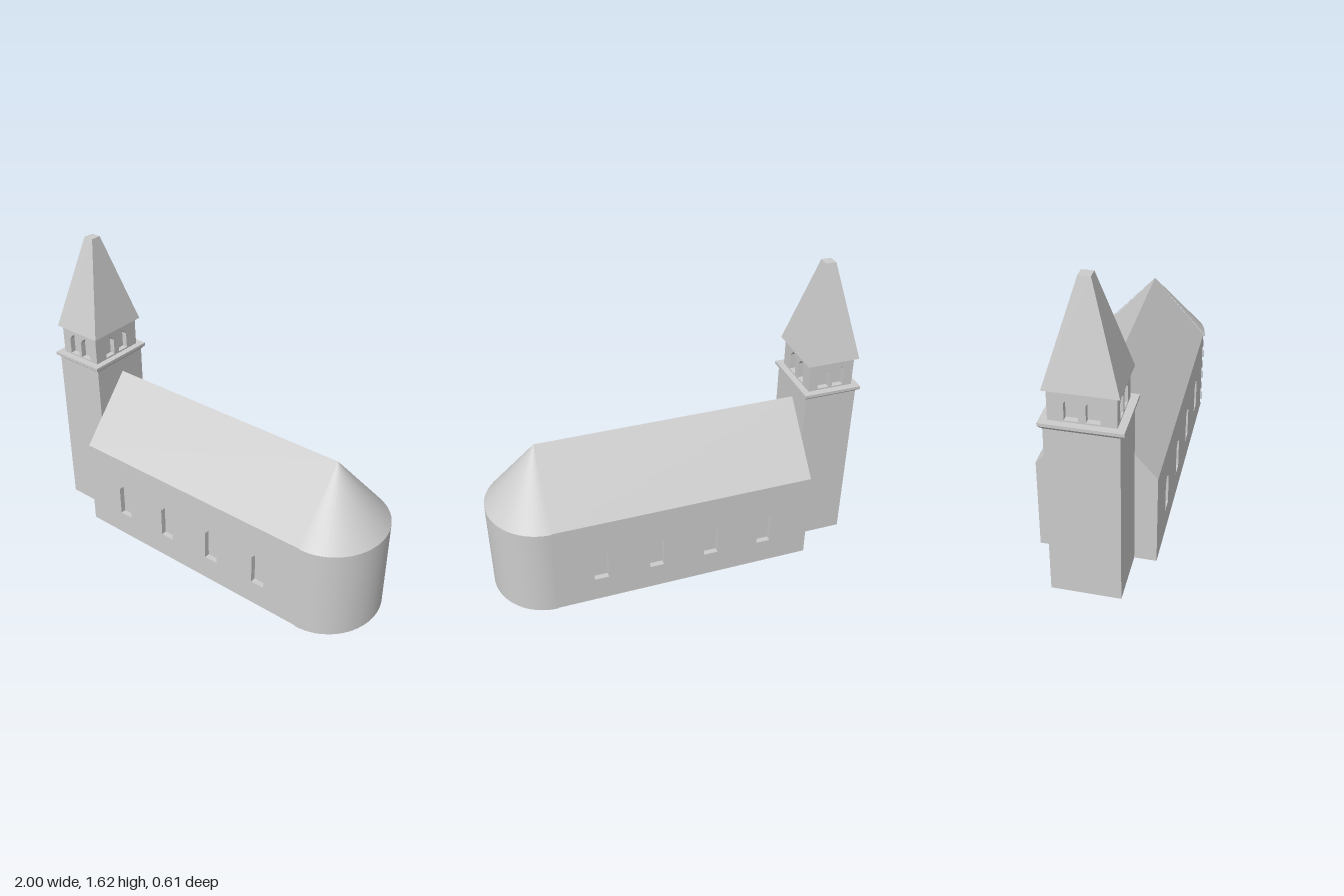
import * as THREE from 'three';

const stone = new THREE.MeshStandardMaterial({ color: 0xcccccc });
stone.name = 'pale grey stone';

const REVEAL = 0.03; // depth of the window recesses

function addMesh(parent, name, geometry, x = 0, y = 0, z = 0) {
  const mesh = new THREE.Mesh(geometry, stone);
  mesh.name = name;
  mesh.position.set(x, y, z);
  parent.add(mesh);
  return mesh;
}

function polygon(points, Type = THREE.Shape) {
  return new Type(points.map(([x, y]) => new THREE.Vector2(x, y)));
}

// Wall slab standing on y = 0 with pointed window openings; outer face at z = REVEAL
function windowWall(x0, x1, height, centres, w, sill, shoulder, peak) {
  const wall = polygon([[x0, 0], [x1, 0], [x1, height], [x0, height]]);
  for (const c of centres) {
    wall.holes.push(polygon([
      [c - w / 2, sill], [c - w / 2, shoulder], [c - w / 5, peak - 0.008], [c, peak],
      [c + w / 5, peak - 0.008], [c + w / 2, shoulder], [c + w / 2, sill],
    ], THREE.Path));
  }
  return new THREE.ExtrudeGeometry(wall, { depth: REVEAL, bevelEnabled: false });
}

// Four-sided block whose top can differ in size; stands on y = 0
function taperedBlock(bottomX, bottomZ, topX, topZ, height) {
  const geometry = new THREE.BoxGeometry(1, height, 1).translate(0, height / 2, 0);
  const p = geometry.attributes.position;
  for (let i = 0; i < p.count; i++) {
    const top = p.getY(i) > height / 2;
    p.setX(i, p.getX(i) * (top ? topX : bottomX));
    p.setZ(i, p.getZ(i) * (top ? topZ : bottomZ));
  }
  geometry.computeVertexNormals();
  return geometry;
}

function buildNave() {
  const nave = new THREE.Group();
  nave.name = 'nave';
  const x0 = -0.7, x1 = 0.715, half = 0.3, eave = 0.51, ridge = 0.855;
  const inner = half - REVEAL;

  // Gabled core, extruded along x
  const section = polygon([
    [-inner, 0], [inner, 0], [inner, eave], [half, eave], [0, ridge], [-half, eave], [-inner, eave],
  ]);
  const core = new THREE.ExtrudeGeometry(section, { depth: x1 - x0, bevelEnabled: false });
  addMesh(nave, 'naveCoreAndRoof', core.rotateY(Math.PI / 2), x0);

  // Long walls with four windows each
  const centres = [-0.443, -0.137, 0.168, 0.472];
  addMesh(nave, 'frontWall', windowWall(x0, x1, eave, centres, 0.077, 0.14, 0.305, 0.34), 0, 0, inner);
  const back = windowWall(-x1, -x0, eave, centres.map((c) => -c), 0.077, 0.14, 0.305, 0.34);
  addMesh(nave, 'backWall', back.rotateY(Math.PI), 0, 0, -inner);

  // Rounded end with a half-cone roof
  const rx = 0.283, rz = 0.304;
  const drum = new THREE.CylinderGeometry(1, 1, eave, 32, 1, false, 0, Math.PI);
  addMesh(nave, 'apseWall', drum.scale(rx, 1, rz), x1, eave / 2, 0);
  const cone = new THREE.ConeGeometry(1, ridge - eave, 32, 1, true, 0, Math.PI);
  addMesh(nave, 'apseRoof', cone.scale(rx, 1, rz), x1, (ridge + eave) / 2, 0);
  return nave;
}

function buildTower() {
  const tower = new THREE.Group();
  tower.name = 'tower';
  tower.position.set(-0.842, 0, 0.015);

  addMesh(tower, 'towerShaft', taperedBlock(0.286, 0.344, 0.286, 0.344, 0.93));
  addMesh(tower, 'corniceFlare', taperedBlock(0.286, 0.344, 0.316, 0.384, 0.018), 0, 0.93);
  addMesh(tower, 'corniceSlab', taperedBlock(0.316, 0.384, 0.316, 0.384, 0.016), 0, 0.948);

  // Belfry: solid core behind four walls of paired windows
  const y = 0.964, height = 0.158, hx = 0.123, hz = 0.155;
  const ix = hx - REVEAL, iz = hz - REVEAL;
  addMesh(tower, 'belfryCore', taperedBlock(2 * ix, 2 * iz, 2 * ix, 2 * iz, height), 0, y);
  for (const side of [1, -1]) {
    const wide = windowWall(-hx, hx, height, [-0.041, 0.041], 0.063, 0.008, 0.094, 0.126);
    if (side < 0) wide.rotateY(Math.PI);
    addMesh(tower, side > 0 ? 'belfryFrontWall' : 'belfryBackWall', wide, 0, y, side * iz);
    const end = windowWall(-iz, iz, height, [-0.049, 0.049], 0.063, 0.008, 0.094, 0.126);
    addMesh(tower, side > 0 ? 'belfryLeftWall' : 'belfryRightWall',
      end.rotateY(side * Math.PI / 2), side * ix, y, 0);
  }

  // Blunt spire
  addMesh(tower, 'spire', taperedBlock(0.286, 0.344, 0.056, 0.056, 0.495), 0, 1.122);
  return tower;
}

export function createModel() {
  const church = new THREE.Group();
  church.name = 'church';
  church.add(buildNave(), buildTower());
  return church;
}
